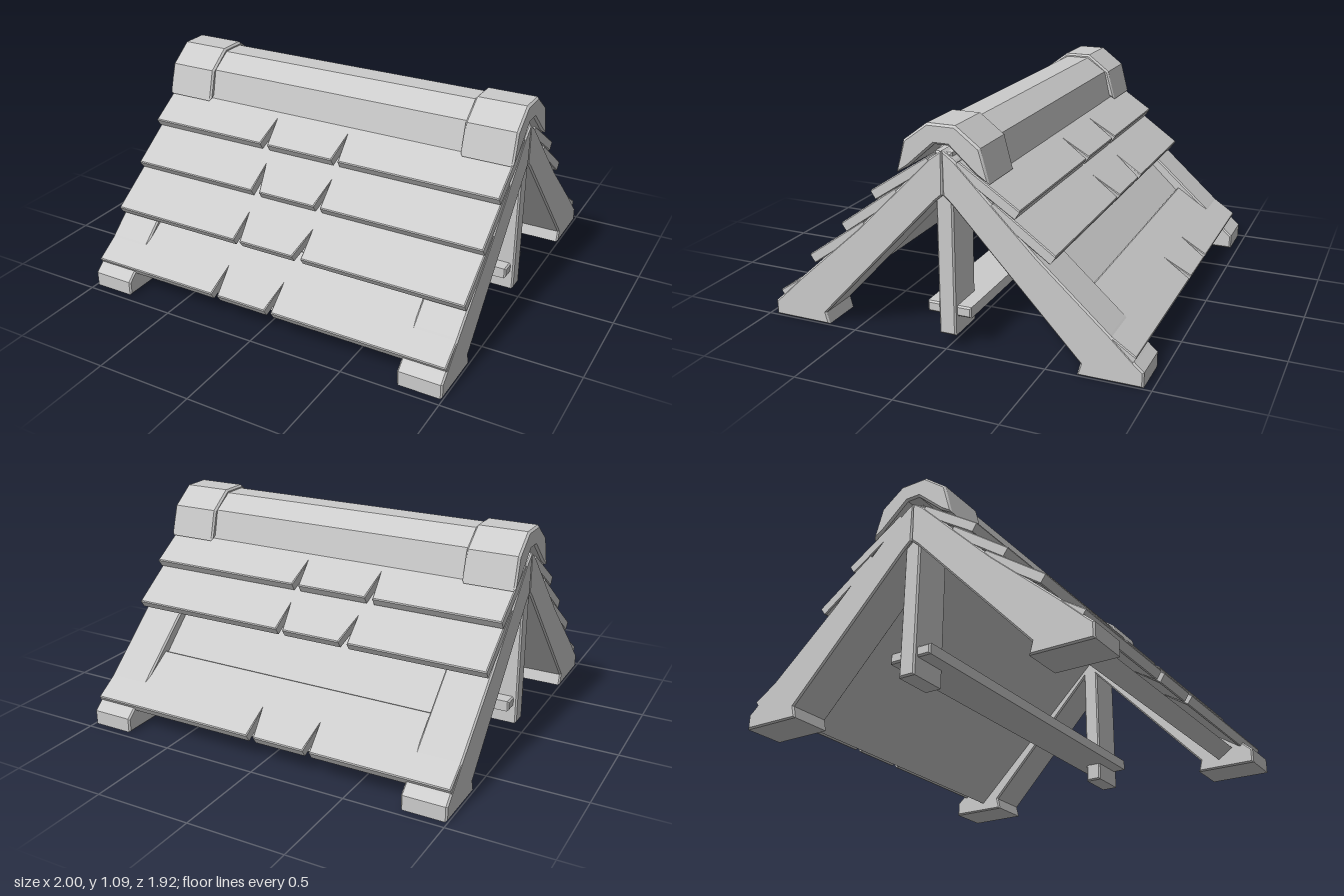
import * as THREE from 'three';

const material = new THREE.MeshStandardMaterial({ color: 0xcccccc, flatShading: true });

// Bevelled extrusion whose outer size stays on the given outline
function slab(points, depth, bevel) {
  const shape = new THREE.Shape(points.map(([a, b]) => new THREE.Vector2(a, b)));
  const geometry = new THREE.ExtrudeGeometry(shape, {
    depth: depth - 2 * bevel, bevelEnabled: true, bevelSegments: 1,
    bevelSize: bevel, bevelThickness: bevel, bevelOffset: -bevel,
  });
  return geometry.translate(0, 0, bevel - depth / 2);
}

function addMesh(parent, name, geometry) {
  const mesh = new THREE.Mesh(geometry, material);
  mesh.name = name;
  parent.add(mesh);
  return mesh;
}

// Profile given as [z, y], extruded along x between x0 and x1
function alongX(parent, name, profile, x0, x1, bevel = 0.008) {
  const geometry = slab(profile, x1 - x0, bevel).rotateY(-Math.PI / 2);
  return addMesh(parent, name, geometry.translate((x0 + x1) / 2, 0, 0));
}

const rect = (z, y0, y1) => [[-z, y0], [z, y0], [z, y1], [-z, y1]];

// Half outline [z, y] closed by its mirror image
const symmetric = (half) => [...half, ...half.slice().reverse().map(([z, y]) => [-z, y])];

// Each board: lower and upper edge of its top face [z, y], and its splits [left, peak, right]
const BOARDS = [
  { low: [0.377, 0.735], high: [0.08, 0.93], splits: [[-0.322, -0.3, -0.28], [0.1, 0.12, 0.137]] },
  { low: [0.547, 0.55], high: [0.25, 0.76], splits: [[-0.272, -0.264, -0.225], [0.095, 0.124, 0.132]] },
  { low: [0.738, 0.36], high: [0.43, 0.575], splits: [[-0.26, -0.25, -0.224], [0.082, 0.124, 0.132]] },
  { low: [0.925, 0.14], high: [0.63, 0.335], splits: [[-0.277, -0.262, -0.242], [0.035, 0.065, 0.072]] },
];

function addBoard(parent, { low, high, splits }, flip) {
  const thickness = 0.052;
  const dz = low[0] - high[0];
  const dy = high[1] - low[1];
  const length = Math.hypot(dz, dy);
  const angle = Math.atan2(dy, dz);
  // The splits are wedges cut into the lower edge
  const outline = [[-0.993, 0]];
  for (const [left, peak, right] of splits) outline.push([left, 0], [peak, 0.165], [right, 0]);
  outline.push([0.993, 0], [0.993, length], [-0.993, length]);
  const points = flip ? outline.map(([x, y]) => [-x, y]).reverse() : outline;
  const geometry = slab(points, thickness, 0.005).translate(0, 0, -thickness / 2);
  const board = addMesh(parent, 'roofBoard', geometry);
  board.rotation.x = angle - Math.PI / 2;
  board.position.set(0, low[1], low[0]);
}

// One slope: two rafters with feet, the inner panel and overlapping boards
function createSlope(name, boards, flip) {
  const slope = new THREE.Group();
  slope.name = name;
  const rafter = [
    [0, 0.76], [0.04, 0.725], [0.665, 0.06], [0.65, 0.0], [0.96, 0.0], [0.96, 0.075],
    [0.92, 0.11], [0.8, 0.225], [0.46, 0.53], [0.06, 0.93], [0, 0.97],
  ];
  for (const [x0, x1] of [[-0.996, -0.77], [0.77, 0.996]]) {
    alongX(slope, 'rafter', rafter, x0, x1);
  }
  alongX(slope, 'innerPanel', [[0, 0.8], [0.77, 0.045], [0.85, 0.1], [0, 0.9]], -0.79, 0.79, 0.004);
  for (const board of boards) addBoard(slope, board, flip);
  return slope;
}

export function createModel() {
  const model = new THREE.Group();
  model.name = 'roof';

  // Slopes; the back one has lost its third board
  model.add(createSlope('frontSlope', BOARDS, false));
  const back = createSlope('backSlope', BOARDS.filter((_, i) => i !== 2), true);
  back.rotation.y = Math.PI;
  model.add(back);

  // Ridge beam and the thicker caps at its ends
  const ridge = symmetric([[0.04, 0.96], [0.15, 0.86], [0.205, 0.85], [0.17, 1.0], [0.062, 1.073]]);
  alongX(model, 'ridge', ridge, -0.76, 0.76);
  const cap = symmetric([[0.035, 0.995], [0.17, 0.875], [0.232, 0.84], [0.19, 1.0], [0.07, 1.09]]);
  alongX(model, 'ridgeCap', cap, -1, -0.73, 0.01);
  alongX(model, 'ridgeCap', cap, 0.73, 1, 0.01);

  // Hanging posts and the tie plank between them
  alongX(model, 'post', rect(0.043, 0.065, 0.96), -0.98, -0.77);
  alongX(model, 'post', rect(0.043, 0.065, 0.96), 0.77, 0.98);
  alongX(model, 'tiePlank', rect(0.113, 0.158, 0.212), -0.96, 0.96);

  return model;
}
